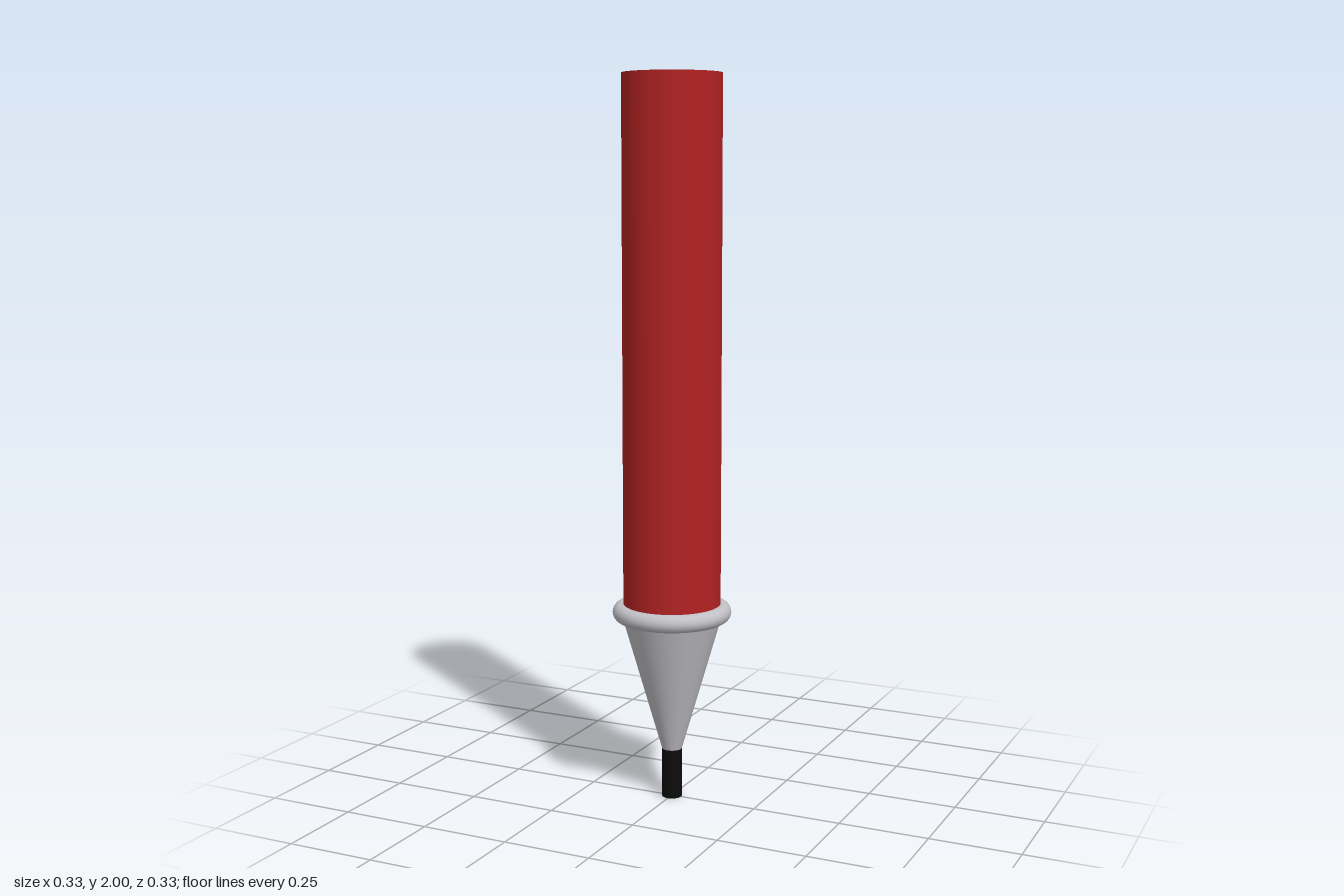
import * as THREE from 'three';

export function createModel() {
  const group = new THREE.Group();
  const mat = (name, color) => {
    const m = new THREE.MeshStandardMaterial({ color });
    m.name = name;
    return m;
  };
  const red = mat('red barrel', 0xb22222);
  const silver = mat('silver', 0xc0c0c5);
  const black = mat('black lead', 0x0c0c0c);

  const add = (name, geometry, material, y) => {
    const mesh = new THREE.Mesh(geometry, material);
    mesh.name = name;
    mesh.position.y = y;
    group.add(mesh);
    return mesh;
  };

  // Upright round section between two heights
  const rod = (name, rTop, rBottom, y0, y1, material) =>
    add(name, new THREE.CylinderGeometry(rTop, rBottom, y1 - y0, 64), material, (y0 + y1) / 2);

  rod('barrel', 0.135, 0.135, 0.51, 2, red);
  rod('taperedTip', 0.135, 0.028, 0.14, 0.51, silver);
  rod('lead', 0.028, 0.028, 0, 0.145, black);

  // Collar ring where the barrel meets the tip
  const collar = add('collar', new THREE.TorusGeometry(0.14, 0.025, 16, 64), silver, 0.535);
  collar.rotation.x = Math.PI / 2;

  return group;
}
